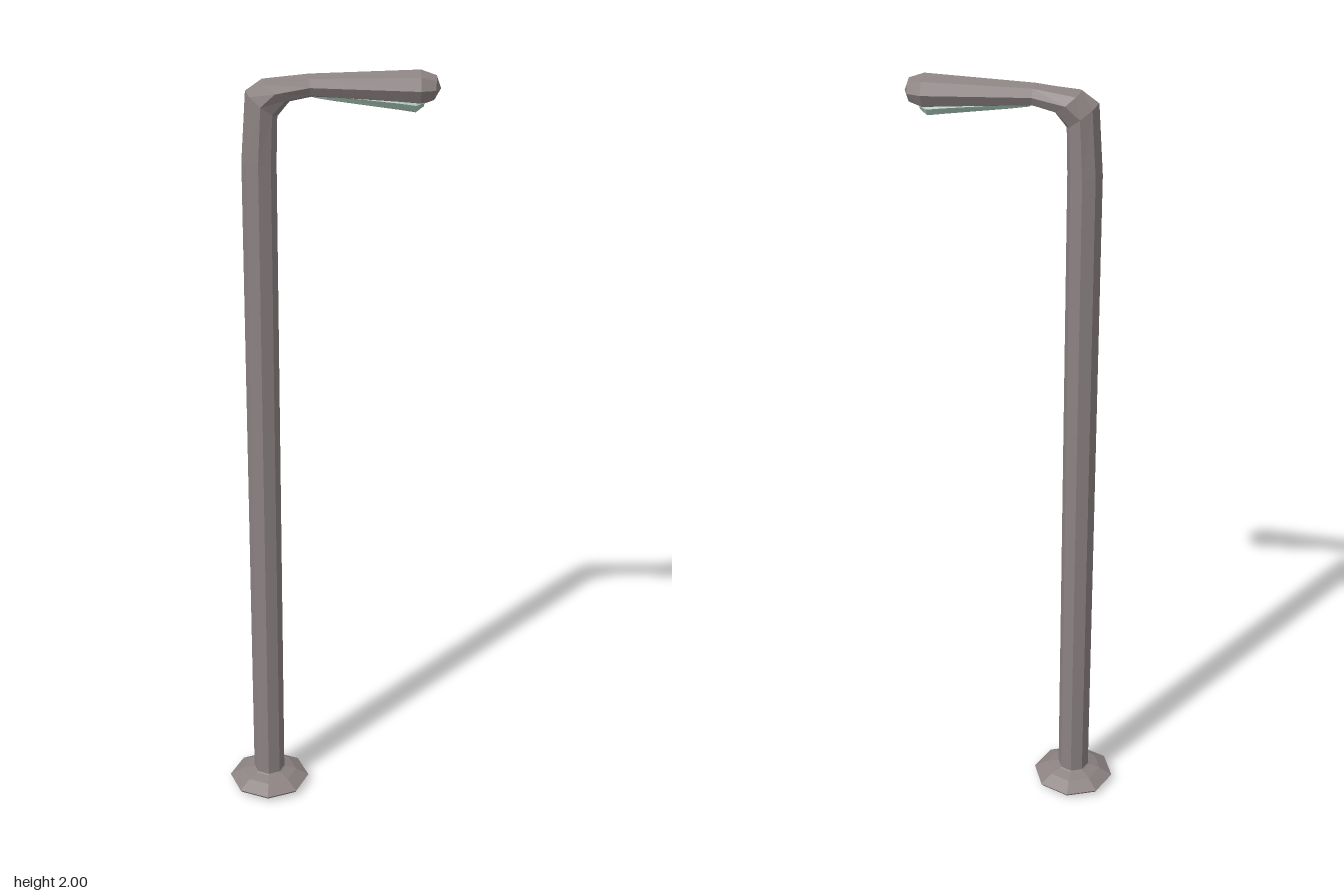
import * as THREE from 'three';

const SIDES = 8;
const metal = new THREE.MeshStandardMaterial({ color: 0x8c8282, flatShading: true });
const glass = new THREE.MeshStandardMaterial({ color: 0xa9c8ba, flatShading: true });

// Skin through octagonal rings, each given as [outer x, outer y, inner x, inner y, half width in z]
function loft(name, sections, material) {
  const positions = [], index = [];
  sections.forEach(([ox, oy, ix, iy, w], s) => {
    const cx = (ox + ix) / 2, cy = (oy + iy) / 2;
    for (let i = 0; i < SIDES; i++) {
      const a = (i / SIDES) * Math.PI * 2;
      positions.push(cx + (ox - cx) * Math.cos(a), cy + (oy - cy) * Math.cos(a), w * Math.sin(a));
      if (s === 0) continue;
      const j = (i + 1) % SIDES, lo = (s - 1) * SIDES, hi = s * SIDES;
      index.push(lo + i, lo + j, hi + j, lo + i, hi + j, hi + i);
    }
  });
  const geometry = new THREE.BufferGeometry();
  geometry.setAttribute('position', new THREE.Float32BufferAttribute(positions, 3));
  geometry.setIndex(index);
  geometry.computeVertexNormals();
  const mesh = new THREE.Mesh(geometry, material);
  mesh.name = name;
  return mesh;
}

export function createModel() {
  const group = new THREE.Group();
  group.name = 'streetLamp';

  // Octagonal foot plate
  const profile = [[0, 0], [0.06, 0.003], [0.105, 0.01], [0.11, 0.017], [0.075, 0.037], [0.046, 0.046], [0.04, 0.05]];
  const foot = new THREE.Mesh(
    new THREE.LatheGeometry(profile.map(([r, y]) => new THREE.Vector2(r, y)), SIDES), metal);
  foot.name = 'footPlate';
  foot.position.x = -0.16;
  group.add(foot);

  // Pole bending over into the arm and lamp head, closed by a blunt tip
  group.add(loft('poleAndHead', [
    [-0.202, 0.04, -0.118, 0.04, 0.043],
    [-0.202, 1.78, -0.118, 1.78, 0.043],
    [-0.19, 1.95, -0.115, 1.89, 0.044],
    [-0.15, 1.978, -0.086, 1.925, 0.048],
    [-0.04, 1.99, -0.035, 1.936, 0.032],
    [0.22, 2.0, 0.22, 1.917, 0.049],
    [0.257, 1.987, 0.252, 1.929, 0.036],
    [0.268, 1.957, 0.268, 1.957, 0],
  ], metal));

  // Glass lens set into the underside of the head
  group.add(loft('lens', [
    [-0.03, 1.945, -0.03, 1.934, 0.006],
    [0.02, 1.955, 0.02, 1.926, 0.02],
    [0.17, 1.95, 0.17, 1.906, 0.034],
    [0.21, 1.945, 0.21, 1.9, 0.033],
    [0.23, 1.94, 0.228, 1.914, 0.022],
    [0.23, 1.93, 0.23, 1.93, 0],
  ], glass));

  return group;
}
